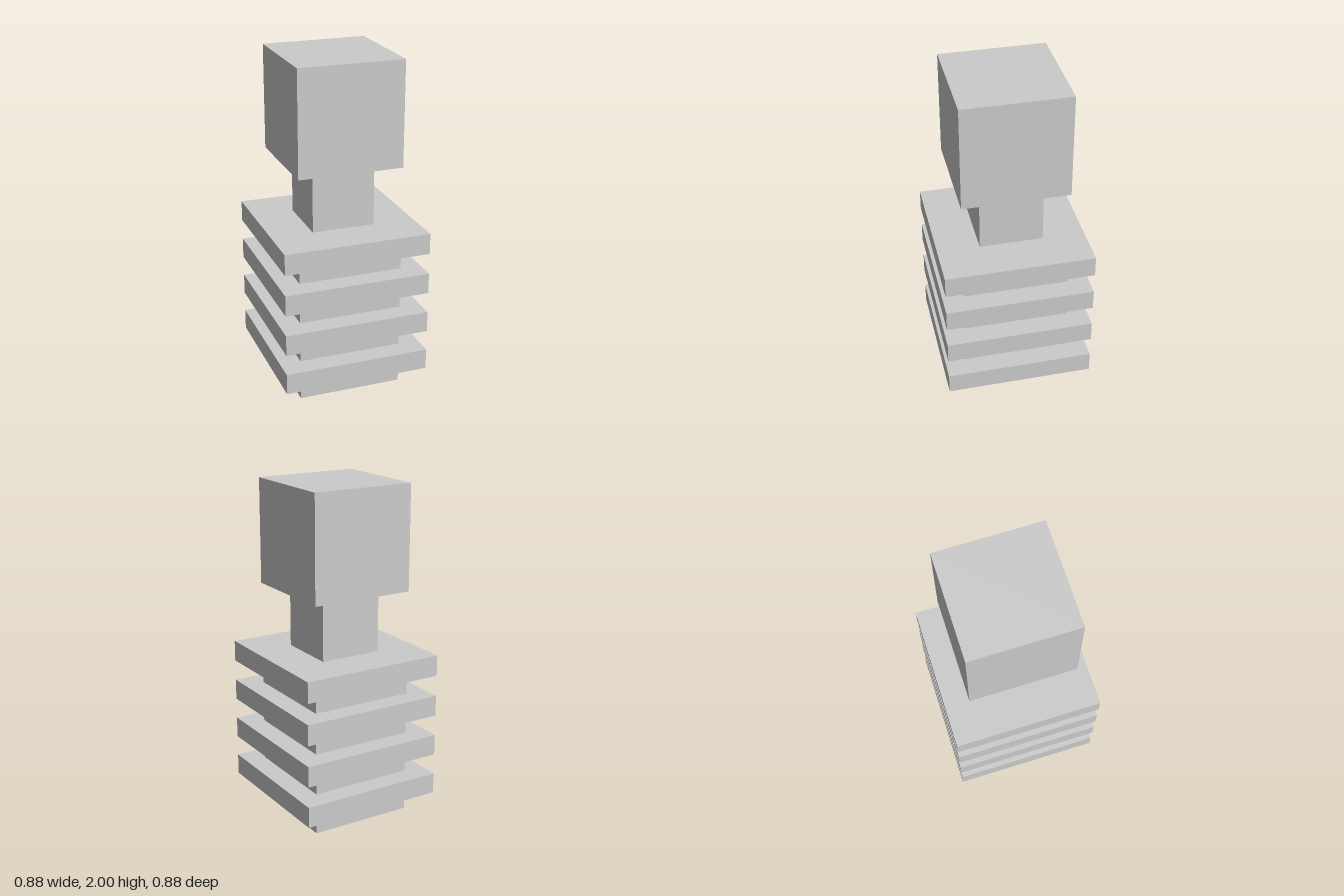
import * as THREE from 'three';

export function createModel() {
  const model = new THREE.Group();
  const material = new THREE.MeshStandardMaterial({ color: 0xcccccc, flatShading: true });

  // Square block of a given width, standing on height y
  function block(name, width, height, y) {
    const mesh = new THREE.Mesh(new THREE.BoxGeometry(width, height, width), material);
    mesh.name = name;
    mesh.position.y = y + height / 2;
    model.add(mesh);
  }

  // Ribbed body: narrow core layers alternating with wide plates
  const layer = 0.125;
  for (let i = 0; i < 4; i++) {
    const y = i * 2 * layer;
    block(`coreLayer${i + 1}`, 0.625, layer, y);
    block(`plate${i + 1}`, 0.875, layer, y + layer);
  }

  // Neck and cube head
  block('neck', 0.375, 0.375, 1);
  block('head', 0.625, 0.625, 1.375);

  return model;
}
